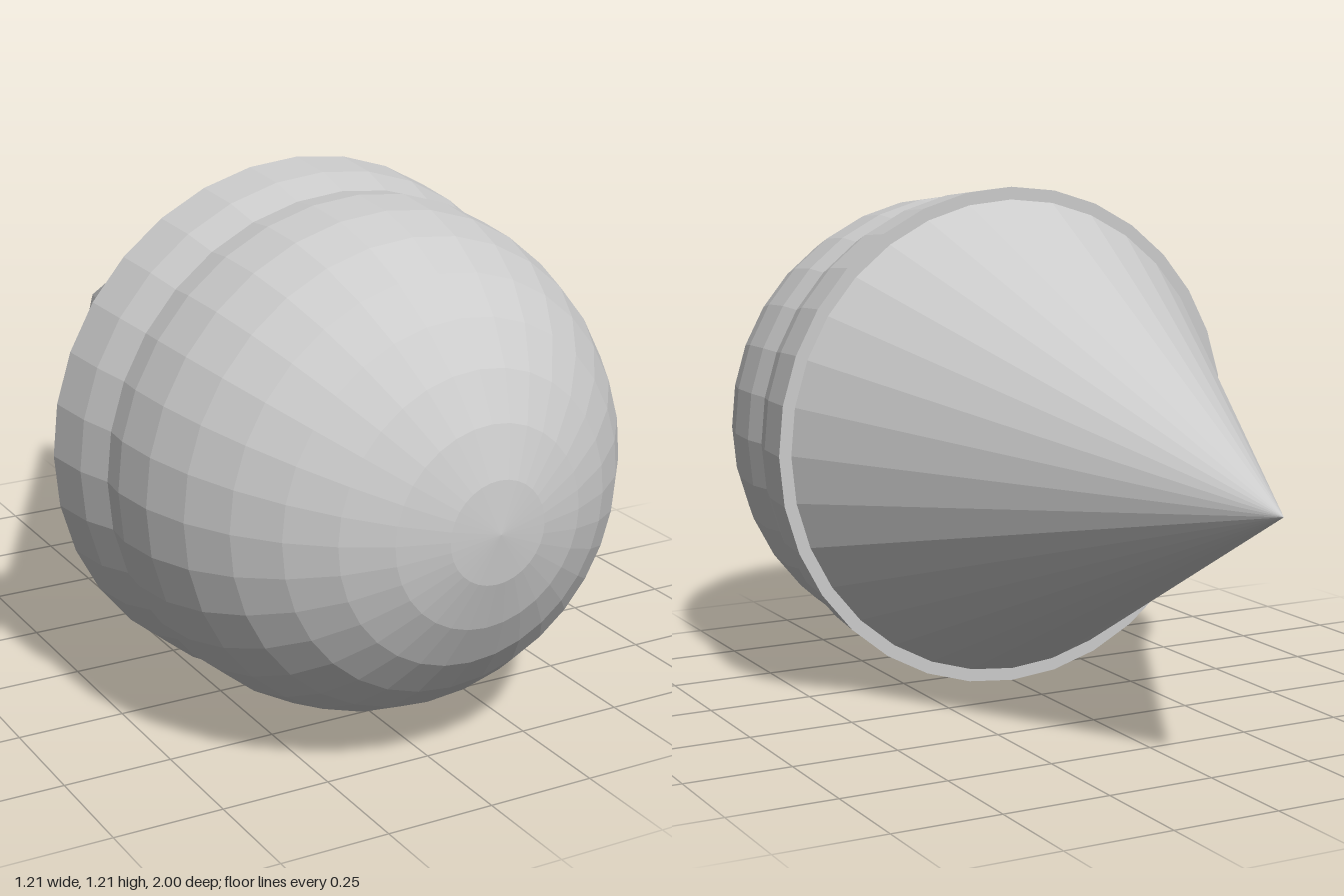
import * as THREE from 'three';

const UNIT = 2 / 3.3;      // collar radius
const BALL = 0.95 * UNIT;  // ball and cone-base radius
const SIDES = 32;
const JOIN_Z = -1 + 1.9 * UNIT; // plane where cone meets collar

export function createModel() {
  const model = new THREE.Group();
  const material = new THREE.MeshStandardMaterial({ color: 0xcccccc, flatShading: true });

  // Every part is round about the z axis, at the height of the collar radius
  const addPart = (name, geometry, z, tilt = Math.PI / 2) => {
    geometry.rotateX(tilt);
    const mesh = new THREE.Mesh(geometry, material);
    mesh.name = name;
    mesh.position.set(0, UNIT, z);
    model.add(mesh);
  };

  // Rounded front ball
  addPart('ball', new THREE.SphereGeometry(BALL, SIDES, 16), JOIN_Z + 0.45 * UNIT);

  // Half dome forming the collar, closed by a flat disc at the back
  addPart('collar', new THREE.SphereGeometry(UNIT, SIDES, 8, 0, Math.PI * 2, 0, Math.PI / 2), JOIN_Z);
  addPart('collarBack', new THREE.CircleGeometry(UNIT, SIDES), JOIN_Z, Math.PI);

  // Pointed cone towards the back
  const height = 1.9 * UNIT;
  addPart('cone', new THREE.ConeGeometry(BALL, height, SIDES, 1, true), JOIN_Z - height / 2, -Math.PI / 2);

  return model;
}
